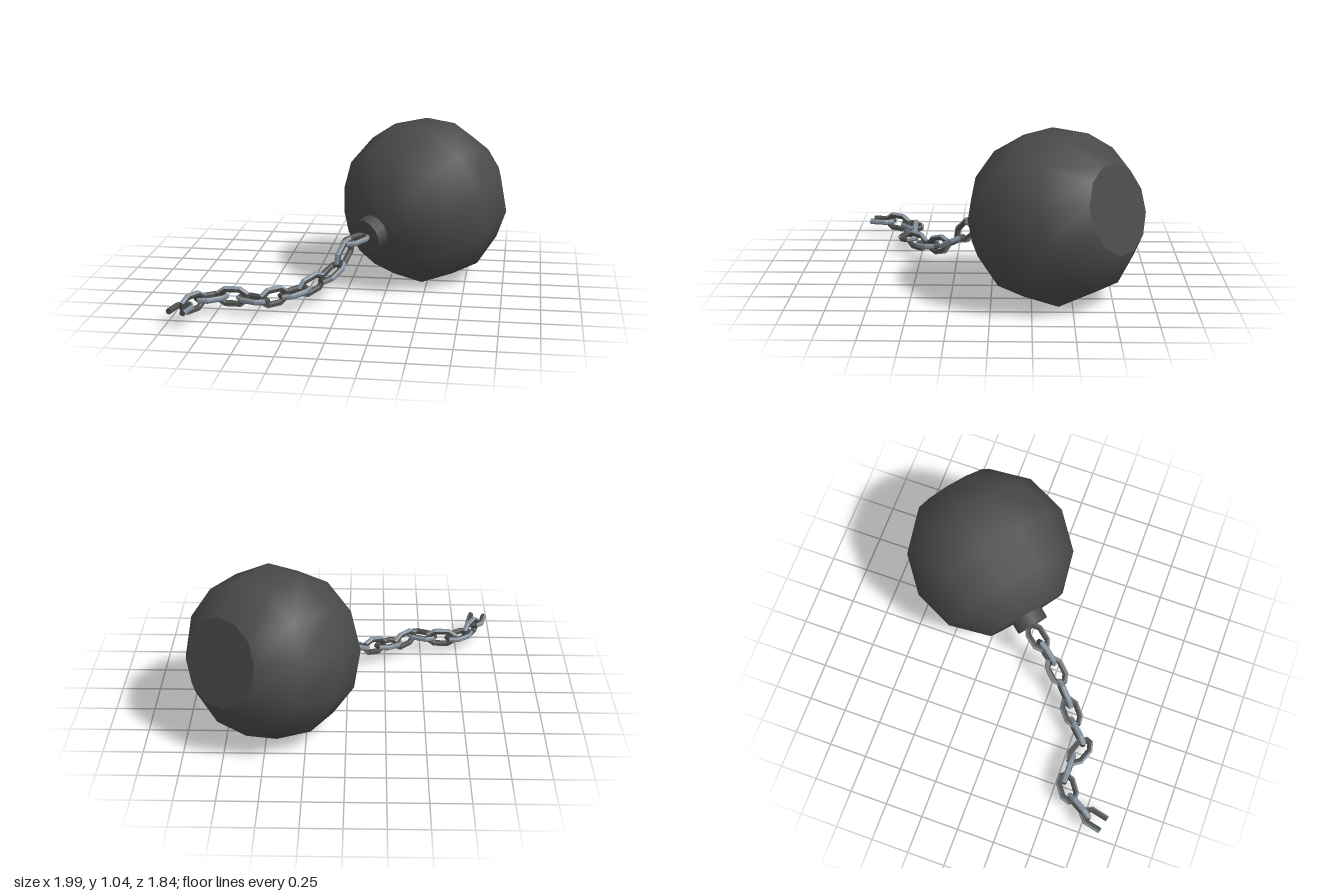
import * as THREE from 'three';

const V = (x, y, z) => new THREE.Vector3(x, y, z);
const iron = new THREE.MeshStandardMaterial({ name: 'dark iron', color: 0x4a4a4a });
const linkDark = new THREE.MeshStandardMaterial({ name: 'dark steel', color: 0x4c4c4b });
const linkLight = new THREE.MeshStandardMaterial({ name: 'worn steel', color: 0x84909c });

// Link outline in its own plane, counter-clockwise; long axis is x
const L = 0.088, W = 0.046, S = 0.046, E = 0.017;
const CLOSED = [[L, -E], [L, E], [S, W], [-S, W], [-L, E], [-L, -E], [-S, -W], [S, -W]];
const OPEN = [[0.065, W], [-S, W], [-L, E], [-L, -E], [-S, -W], [0.065, -W]];
const TUBE = 0.0195, SIDES = 8;

// Mitred octagonal bar along the outline; outer faces are worn, the rest dark
function makeLink(name, path, closed) {
  const n = path.length;
  const pts = path.map(p => V(p[0], p[1], 0));
  const edgeNormal = i => {
    const d = pts[(i + 1) % n].clone().sub(pts[i]).normalize();
    return V(d.y, -d.x, 0);
  };
  const rings = pts.map((p, i) => {
    const a = edgeNormal(!closed && i === 0 ? 0 : (i + n - 1) % n);
    const b = edgeNormal(!closed && i === n - 1 ? n - 2 : i);
    const m = a.clone().add(b);
    m.multiplyScalar(2 / m.lengthSq());
    return Array.from({ length: SIDES }, (_, k) => {
      const t = (k - 0.5) * Math.PI * 2 / SIDES;
      return p.clone().addScaledVector(m, TUBE * Math.cos(t)).add(V(0, 0, TUBE * Math.sin(t)));
    });
  });
  const light = [], dark = [];
  const tri = (list, ...c) => c.forEach(v => list.push(v.x, v.y, v.z));
  for (let i = 0; i < (closed ? n : n - 1); i++) {
    const j = (i + 1) % n;
    const tip = Math.abs(pts[i].x - pts[j].x) < 1e-6;
    for (let k = 0; k < SIDES; k++) {
      const q = (k + 1) % SIDES;
      const list = !tip && (k < 2 || k === SIDES - 1) ? light : dark;
      tri(list, rings[i][k], rings[j][k], rings[j][q]);
      tri(list, rings[i][k], rings[j][q], rings[i][q]);
    }
  }
  // Cut faces of a broken link
  if (!closed) {
    for (let k = 1; k < SIDES - 1; k++) {
      tri(dark, rings[0][0], rings[0][k], rings[0][k + 1]);
      tri(dark, rings[n - 1][0], rings[n - 1][k + 1], rings[n - 1][k]);
    }
  }
  const group = new THREE.Group();
  group.name = name;
  [[light, linkLight, 'wornRim'], [dark, linkDark, 'darkFaces']].forEach(([list, mat, part]) => {
    const g = new THREE.BufferGeometry();
    g.setAttribute('position', new THREE.Float32BufferAttribute(list, 3));
    g.computeVertexNormals();
    const mesh = new THREE.Mesh(g, mat);
    mesh.name = part;
    group.add(mesh);
  });
  return group;
}

// Place a link: long axis along dir, lying flat or standing on edge
function placeLink(link, center, dir, flat) {
  const x = V(...dir).normalize();
  const side = V(0, 1, 0).cross(x).normalize();
  const up = x.clone().cross(side).normalize();
  const y = flat ? side : up;
  const z = x.clone().cross(y);
  link.quaternion.setFromRotationMatrix(new THREE.Matrix4().makeBasis(x, y, z));
  link.position.set(...center);
}

export function createModel() {
  const model = new THREE.Group();
  model.name = 'ballAndChain';

  // Ball: faceted outline, smooth shading, axis pointing away from the chain
  const R = 0.553, flatY = R * Math.cos(Math.PI / 6);
  const ball = new THREE.Group();
  ball.name = 'ball';
  ball.position.set(0.46, 0.516, -0.395);
  const az = THREE.MathUtils.degToRad(38.5), tilt = THREE.MathUtils.degToRad(15);
  const axis = V(Math.sin(az) * Math.cos(tilt), Math.sin(tilt), -Math.cos(az) * Math.cos(tilt));
  const side = V(0, 1, 0).cross(axis).normalize();
  ball.quaternion.setFromRotationMatrix(
    new THREE.Matrix4().makeBasis(side, axis, side.clone().cross(axis)));
  model.add(ball);

  const add = (name, geo, mat) => {
    const mesh = new THREE.Mesh(geo, mat);
    mesh.name = name;
    ball.add(mesh);
    return mesh;
  };
  const shell = new THREE.SphereGeometry(R, 12, 5, 0, Math.PI * 2, Math.PI / 6, Math.PI * 5 / 6);
  const pos = shell.attributes.position;
  for (let i = 0; i < pos.count; i++) pos.setY(i, Math.max(pos.getY(i), -flatY));
  add('shell', shell.rotateY(Math.PI / 12), iron);
  const cap = new THREE.CircleGeometry(R / 2, 12).rotateX(-Math.PI / 2).rotateY(Math.PI / 12);
  add('flatCap', cap.translate(0, flatY, 0), iron);

  // Mounting plate for the chain
  add('mountPlate', new THREE.CylinderGeometry(0.112, 0.112, 0.09, 12).translate(0, -0.515, 0), iron);

  // Chain from the plate to the broken end: centre, direction, lying flat
  const links = [
    [[0.06, 0.36, 0.085], [-0.6, -0.1, 0.75], true],
    [[0.0, 0.295, 0.17], [-0.08, -0.16, 0.14], false],
    [[-0.065, 0.195, 0.265], [-0.12, -0.1, 0.14], true],
    [[-0.18, 0.14, 0.365], [-0.14, -0.06, 0.14], false],
    [[-0.275, 0.11, 0.445], [-0.13, -0.02, 0.11], true],
    [[-0.39, 0.103, 0.525], [-0.16, 0, 0.16], false],
    [[-0.51, 0.103, 0.585], [-0.16, 0, -0.06], true],
    [[-0.645, 0.103, 0.555], [-1, 0, 0], false],
    [[-0.77, 0.103, 0.59], [-0.14, 0, 0.1], true],
    [[-0.86, 0.103, 0.7], [-0.11, 0, 0.19], false],
  ];
  links.forEach(([c, d, flat], i) => {
    const link = makeLink('chainLink' + (i + 1), CLOSED, true);
    placeLink(link, c, d, flat);
    model.add(link);
  });
  const broken = makeLink('brokenLink', OPEN, false);
  placeLink(broken, [-0.905, 0.103, 0.825], [-0.04, 0, 0.175], true);
  model.add(broken);
  return model;
}
